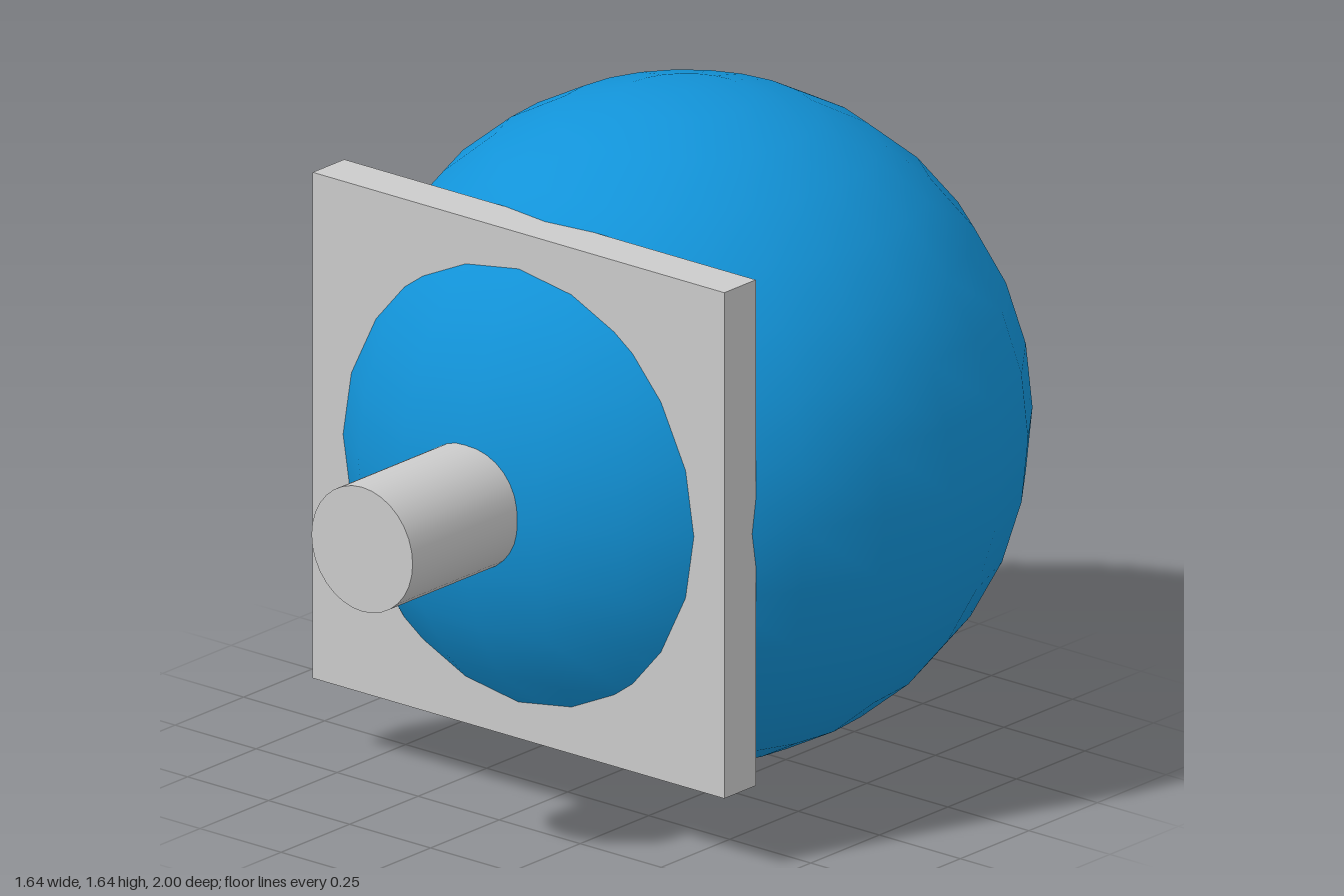
import * as THREE from 'three';

export function createModel() {
  const model = new THREE.Group();
  const grey = new THREE.MeshStandardMaterial({ color: 0xcccccc });
  const blue = new THREE.MeshStandardMaterial({ color: 0x1293d8 });
  const centreY = 0.825;

  const add = (name, geometry, material, z) => {
    const mesh = new THREE.Mesh(geometry, material);
    mesh.name = name;
    mesh.position.set(0, centreY, z);
    model.add(mesh);
    return mesh;
  };

  // Large ball
  add('ball', new THREE.SphereGeometry(0.82, 24, 16), blue, -0.18);

  // Square plate that the ball pokes through
  add('plate', new THREE.BoxGeometry(1.27, 1.27, 0.115), grey, 0.372);

  // Round stem leaving the front of the ball, rooted inside it
  const stemFront = 1, stemBack = 0.5;
  const stem = new THREE.CylinderGeometry(0.156, 0.156, stemFront - stemBack, 32).rotateX(Math.PI / 2);
  add('stem', stem, grey, (stemFront + stemBack) / 2);

  return model;
}
